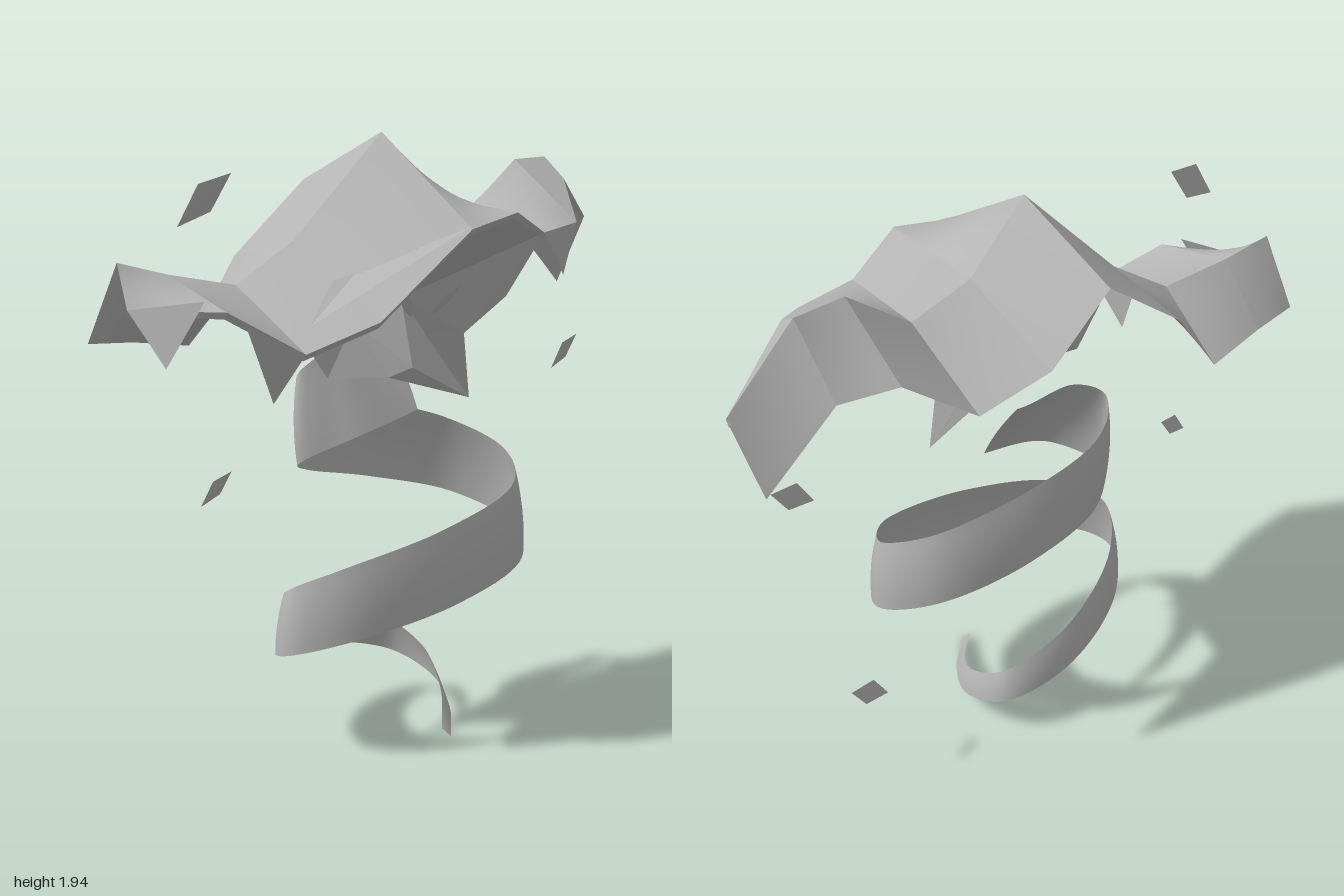
import * as THREE from 'three';
import { mergeGeometries } from 'three/addons/utils/BufferGeometryUtils.js';

const grey = (flatShading) => {
  const m = new THREE.MeshStandardMaterial({ color: 0xb4b4b4, side: THREE.DoubleSide, flatShading });
  m.name = flatShading ? 'faceted grey' : 'smooth grey';
  return m;
};

// Surface joining rows of points with equal counts
function loft(rows) {
  const n = rows[0].length, index = [];
  for (let r = 0; r < rows.length - 1; r++)
    for (let i = 0; i < n - 1; i++) {
      const a = r * n + i, b = a + n;
      index.push(a, b, a + 1, a + 1, b, b + 1);
    }
  const g = new THREE.BufferGeometry();
  g.setAttribute('position', new THREE.Float32BufferAttribute(rows.flat(2), 3));
  g.setIndex(index);
  g.computeVertexNormals();
  return g;
}

// Twisted panels between two edges, creased where they meet
function panels(a, b, steps = 6) {
  const mix = (p, q, t) => p.map((v, c) => v + (q[c] - v) * t);
  const grid = Array.from({ length: steps + 1 }, (_, k) => k / steps);
  return mergeGeometries(a.slice(1).map((_, i) => loft(grid.map((v) => grid.map((u) =>
    mix(mix(a[i], a[i + 1], u), mix(b[i], b[i + 1], u), v))))));
}

// Polygons, each fanned from its first corner
function facets(polys) {
  const pos = [];
  for (const p of polys)
    for (let i = 1; i < p.length - 1; i++) pos.push(...p[0], ...p[i], ...p[i + 1]);
  const g = new THREE.BufferGeometry();
  g.setAttribute('position', new THREE.Float32BufferAttribute(pos, 3));
  g.computeVertexNormals();
  return g;
}

export function createModel() {
  const root = new THREE.Group();
  const faceted = grey(true), smooth = grey(false);
  const add = (name, geometry, material = faceted) => {
    const m = new THREE.Mesh(geometry, material);
    m.name = name;
    root.add(m);
    return m;
  };

  // Draped hood: back edge, ridge and front edge
  const back = [[-1, 1.32, -.25], [-.83, 1.31, -.28], [-.61, 1.28, -.32], [-.4, 1.55, -.37], [-.09, 1.79, -.41],
    [.1, 1.58, -.4], [.33, 1.5, -.37], [.55, 1.66, -.32], [.73, 1.65, -.28], [.95, 1.41, -.25]];
  const ridge = [[-.95, 1.56, -.155], [-.79, 1.52, -.14], [-.57, 1.48, -.11], [-.37, 1.61, -.085], [-.05, 1.94, -.05],
    [.15, 1.735, -.065], [.37, 1.68, -.09], [.59, 1.855, -.11], [.765, 1.865, -.14], [1, 1.65, -.165]];
  const front = [[-.97, 1.43, -.07], [-.79, 1.43, .17], [-.59, 1.305, .27], [-.38, 1.39, .35], [-.07, 1.65, .4],
    [.13, 1.695, .385], [.34, 1.625, .29], [.57, 1.65, .21], [.74, 1.79, -.02], [1, 1.65, -.165]];
  add('hoodFront', panels(front, ridge), smooth);
  add('hoodBack', panels(ridge, back), smooth);
  add('hoodRim', loft([front.map(([x, y, z]) => [x, y - .02, z - .015]), front]));

  // Raised sliver on the hood's right front
  add('hoodFlap', facets([[[-.545, 1.38, .23], [-.07, 1.66, .4], [-.33, 1.52, .17], [-.4, 1.5, .15]]]));

  // Pointed tatters hanging from the front edge
  add('tatters', facets([
    [front[0], [-.925, 1.27, .06], [-.83, 1.46, .12]],
    [[-.74, 1.39, .19], [-.635, 1.155, .17], front[2]],
    [front[6], [.5, 1.48, .22], front[7]],
  ]));

  // Angular mask under the hood, sloping back from jaw to brow
  const cheekTop = [-.49, 1.325, .12], cheek = [-.385, 1.2, .1], jaw = [-.18, 1.19, .14], lip = [-.095, 1.215, .155];
  const chin = [.23, 1.08, .06], jawRight = [.17, 1.3, .1], temple = [.27, 1.42, .19], cheekIn = [-.245, 1.36, .05];
  const nose = [-.02, 1.42, .01], brow = [-.3, 1.52, .05], throat = [-.02, 1.3, -.02];
  add('mask', facets([
    [cheekIn, brow, cheekTop, cheek],
    [cheekIn, cheek, jaw, lip, nose],
    [cheekIn, nose, brow],
    [nose, lip, chin, jawRight],
    [nose, jawRight, temple],
    [jawRight, chin, throat],
    [jaw, chin, lip],
    [throat, chin, jaw],
    [temple, jawRight, front[6]],
  ]));

  // Shaded hollow between brow and front edge
  add('hoodLining', facets([
    [brow, cheekTop, front[3]],
    [brow, front[3], front[4]],
    [brow, front[4], nose],
    [nose, front[4], front[5]],
    [nose, front[5], front[6], temple],
  ]));

  // Slanted slit eyes
  const lens = new THREE.Shape();
  lens.moveTo(0, -.068);
  lens.quadraticCurveTo(.035, 0, 0, .068);
  lens.quadraticCurveTo(-.035, 0, 0, -.068);
  for (const side of [-1, 1]) {
    const eye = add(side < 0 ? 'rightEye' : 'leftEye', new THREE.ShapeGeometry(lens, 4));
    eye.position.set(-.03 + side * .08, 1.415, .145);
    eye.rotation.set(.5, 0, -side * .65);
  }

  // Spiral ribbon: x, y, z of the centre line, then half width
  const path = [[.005, .015, .21, .014], [.13, .07, .06, .03], [.193, .14, -.1, .05], [.14, .215, -.245, .06],
    [-.1, .3, -.275, .075], [-.39, .385, -.14, .095], [-.495, .44, .03, .105], [-.37, .5, .165, .115],
    [0, .575, .232, .125], [.37, .66, .155, .13], [.49, .74, -.03, .13], [.38, .83, -.2, .13],
    [.08, .915, -.28, .135], [-.21, .985, -.25, .14], [-.31, 1.04, -.15, .145], [-.19, 1.12, -.08, .145],
    [.08, 1.185, -.115, .14]];
  const centre = new THREE.CatmullRomCurve3(path.map((p) => new THREE.Vector3(p[0], p[1], p[2])));
  const steps = 160, across = 6;
  const rows = [];
  for (let i = 0; i <= steps; i++) {
    const t = i / steps, u = t * (path.length - 1), k = Math.min(Math.floor(u), path.length - 2);
    const half = THREE.MathUtils.lerp(path[k][3], path[k + 1][3], u - k);
    const c = centre.getPoint(t), d = centre.getTangent(t);
    const out = new THREE.Vector3(-d.z, 0, d.x).normalize();
    const flare = .015 * (1 - THREE.MathUtils.smoothstep(t, .72, .84));
    const lean = THREE.MathUtils.smoothstep(t, .86, 1) * .09;
    const row = [];
    for (let j = 0; j <= across; j++) {
      const v = j / across * 2 - 1, push = (1 - v * v) * half * .07 - v * flare;
      row.push([c.x + out.x * push, c.y + v * half, c.z + out.z * push - v * lean]);
    }
    rows.push(row);
  }
  add('spiralRibbon', loft(rows), smooth);

  // Drifting diamond flakes
  const flake = facets([[[-.105, -.075, .02], [.035, -.035, -.02], [.105, .075, -.015], [-.035, .045, .025]]]);
  for (const [x, y, z, s] of [[-.755, 1.74, .01, 1], [-.675, .87, -.08, .6], [.765, 1.185, -.03, .72], [.625, .395, -.16, .7]]) {
    const m = add('flake', flake);
    m.position.set(x, y, z);
    m.scale.setScalar(s);
  }
  return root;
}
